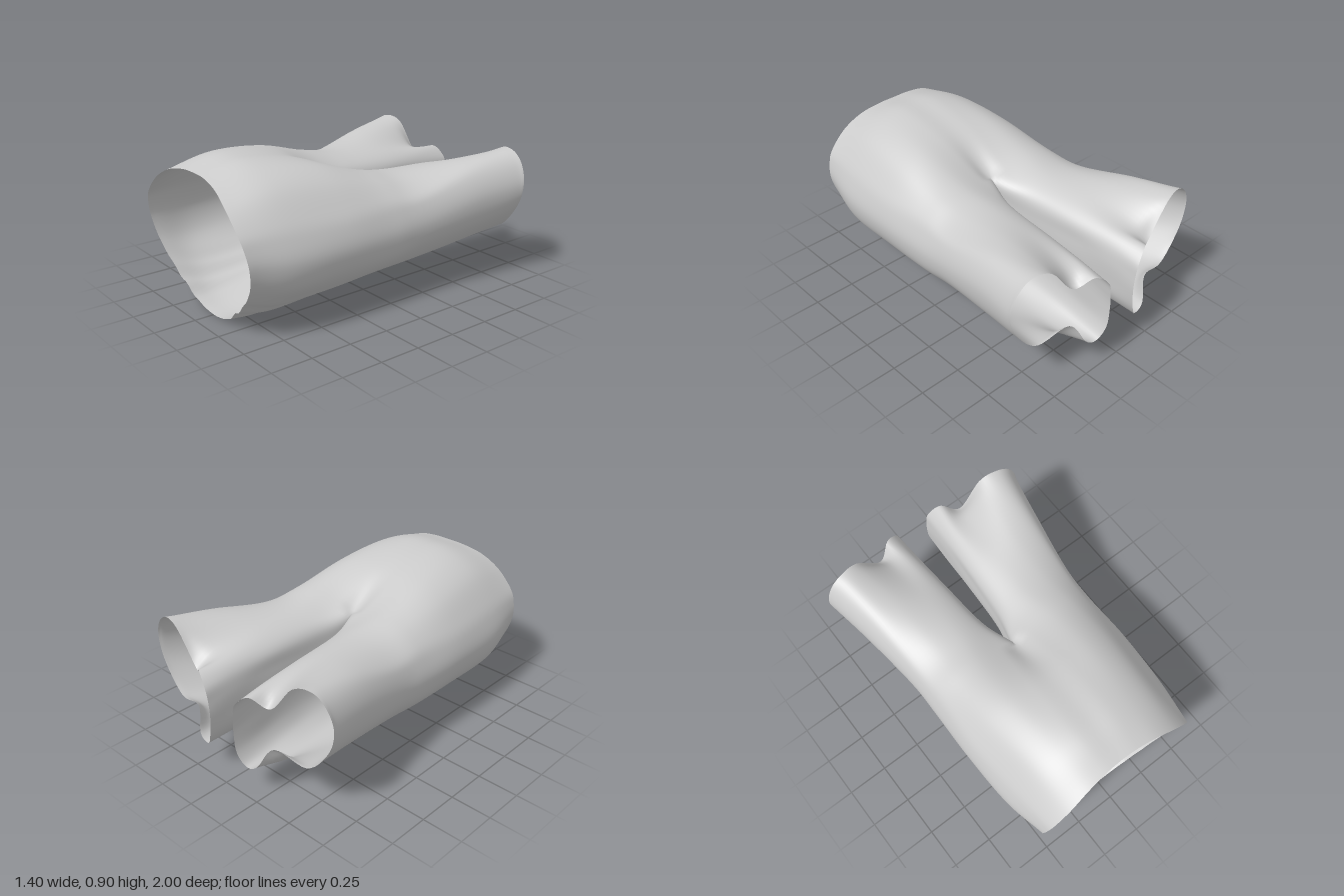
import * as THREE from 'three';
import { mergeVertices } from 'three/addons/utils/BufferGeometryUtils.js';

// Cross-sections of one half of the garment, waist to cuff. Points 0-11 run from
// the inner top round the outside to the inner bottom; 12-14 climb the inner leg.
const OUTER = 12, LOOP = 15, CROTCH = 3;
const section = (z, xs, ys) =>
  xs.map((x, i) => new THREE.Vector3(x, ys[i], typeof z === 'number' ? z : z[i]));

const waistY = [0.845, 0.84, 0.81, 0.74, 0.64, 0.565, 0.46, 0.33, 0.20, 0.11, 0.03, 0];
const waistDip = [0.035, 0.03, 0.015];
const waistZ = waistY.map((y, i) => 0.88 + 0.115 * Math.min(1, y / 0.62) - (waistDip[i] || 0));

const waist = section(waistZ,
  [0, 0.12, 0.25, 0.37, 0.47, 0.51, 0.525, 0.485, 0.38, 0.27, 0.15, 0], waistY);
const hip = section(0.7,
  [0, 0.13, 0.27, 0.39, 0.49, 0.545, 0.575, 0.54, 0.44, 0.33, 0.18, 0],
  [0.895, 0.895, 0.86, 0.79, 0.67, 0.57, 0.44, 0.30, 0.19, 0.11, 0.04, 0.018]);
const seat = section(0.35,
  [0, 0.13, 0.28, 0.41, 0.51, 0.565, 0.59, 0.555, 0.46, 0.34, 0.18, 0],
  [0.835, 0.845, 0.835, 0.77, 0.66, 0.565, 0.44, 0.31, 0.20, 0.13, 0.10, 0.10]);
const crotch = section(
  [0.05, 0.03, 0.03, 0.03, 0.03, 0.03, 0.03, 0.03, 0.03, 0.03, 0.03, 0.06, 0, -0.03, 0],
  [0, 0.1, 0.26, 0.40, 0.51, 0.56, 0.585, 0.555, 0.46, 0.33, 0.14, 0, 0, 0, 0],
  [0.67, 0.71, 0.75, 0.72, 0.64, 0.555, 0.44, 0.31, 0.21, 0.16, 0.17, 0.20, 0.29, 0.42, 0.56]);
const thigh = section(-0.2,
  [0.06, 0.12, 0.24, 0.39, 0.52, 0.57, 0.59, 0.56, 0.46, 0.34, 0.20, 0.12, 0.07, 0.05, 0.05],
  [0.61, 0.67, 0.71, 0.70, 0.64, 0.57, 0.46, 0.34, 0.22, 0.165, 0.165, 0.21, 0.29, 0.40, 0.51]);
const knee = section(-0.55,
  [0.09, 0.15, 0.26, 0.41, 0.54, 0.61, 0.64, 0.605, 0.49, 0.36, 0.23, 0.135, 0.09, 0.075, 0.08],
  [0.60, 0.66, 0.70, 0.74, 0.73, 0.66, 0.54, 0.39, 0.26, 0.19, 0.165, 0.21, 0.29, 0.40, 0.51]);
const shin = section(-0.8,
  [0.11, 0.17, 0.28, 0.44, 0.56, 0.645, 0.685, 0.645, 0.51, 0.36, 0.25, 0.15, 0.10, 0.09, 0.09],
  [0.59, 0.645, 0.655, 0.755, 0.775, 0.71, 0.58, 0.43, 0.285, 0.25, 0.175, 0.19, 0.27, 0.38, 0.50]);
const cuff = section(
  [-1, -0.97, -0.91, -0.9, -0.88, -0.87, -0.86, -0.86, -0.87, -0.91, -0.97, -0.98, -1, -1, -1],
  [0.12, 0.20, 0.30, 0.45, 0.57, 0.66, 0.70, 0.655, 0.51, 0.31, 0.235, 0.16, 0.11, 0.095, 0.10],
  [0.57, 0.635, 0.58, 0.76, 0.787, 0.725, 0.60, 0.445, 0.29, 0.33, 0.21, 0.18, 0.26, 0.38, 0.48]);
const sections = [waist, hip, seat, crotch, thigh, knee, shin, cuff];

const ROWS = 8, COLS = 6; // subdivisions per section and per control point
const smooth = (pts, closed) => new THREE.CatmullRomCurve3(pts, closed, 'catmullrom', 0.5);

// Lengthwise curves through matching points; inner ones begin at the crotch
const rails = Array.from({ length: LOOP }, (_, i) =>
  smooth(sections.filter((s) => s.length > i).map((s) => s[i]), false));

// Soft gathers under the hips
function gather(p) {
  const along = THREE.MathUtils.smoothstep(p.z, 0.05, 0.45);
  const across = Math.max(0, 1 - Math.abs(p.x - 0.29) / 0.2);
  if (p.y < 0.35) p.y += 0.009 * along * across * Math.sin(p.x * 55);
}

// One ring of surface points: a half ring over the hips, a full loop on the leg
function ring(row) {
  const s = row / ROWS, last = sections.length - 1, isHip = s <= CROTCH;
  const ctrl = rails.map((rail, i) => rail.getPoint(
    i < OUTER ? s / last : Math.max(0, (s - CROTCH) / (last - CROTCH))));
  const loop = smooth(ctrl, true);
  let outer = null;
  if (isHip) {
    ctrl[0].x = ctrl[OUTER - 1].x = 0;
    const half = ctrl.slice(0, OUTER);
    const mirrored = half.slice(1, -1).reverse().map((p) => new THREE.Vector3(-p.x, p.y, p.z));
    outer = smooth([...half, ...mirrored], true);
  }
  const points = [];
  for (let k = 0; k < LOOP * COLS; k++) {
    const onOuter = k <= (OUTER - 1) * COLS;
    const p = isHip && onOuter
      ? outer.getPoint(k / (2 * (OUTER - 1) * COLS))
      : loop.getPoint(k / (LOOP * COLS));
    if (isHip && (!onOuter || k === 0 || k === (OUTER - 1) * COLS)) p.x = 0;
    if (isHip && !onOuter && s < CROTCH) p.copy(points[0]);
    gather(p);
    points.push(p);
  }
  return points;
}

function garmentGeometry() {
  const rows = (sections.length - 1) * ROWS, cols = LOOP * COLS;
  const rings = Array.from({ length: rows + 1 }, (_, r) => ring(r));
  const positions = [], indices = [];
  for (const side of [1, -1]) {
    const base = positions.length / 3;
    for (const points of rings) for (const p of points) positions.push(side * p.x, p.y, p.z);
    for (let r = 0; r < rows; r++) {
      const width = r < CROTCH * ROWS ? (OUTER - 1) * COLS : cols;
      for (let k = 0; k < width; k++) {
        const next = (k + 1) % cols;
        const a = base + r * cols + k, b = base + r * cols + next;
        const c = a + cols, d = b + cols;
        if (side > 0) indices.push(a, b, c, b, d, c);
        else indices.push(a, c, b, b, c, d);
      }
    }
  }
  const geometry = new THREE.BufferGeometry();
  geometry.setAttribute('position', new THREE.Float32BufferAttribute(positions, 3));
  geometry.setIndex(indices);
  const welded = mergeVertices(geometry, 1e-4);
  welded.computeVertexNormals();
  return welded;
}

export function createModel() {
  const group = new THREE.Group();
  group.name = 'trousers';
  const cloth = new THREE.Mesh(garmentGeometry(),
    new THREE.MeshStandardMaterial({ color: 0xcccccc, side: THREE.DoubleSide }));
  cloth.name = 'trouserCloth';
  group.add(cloth);
  return group;
}
